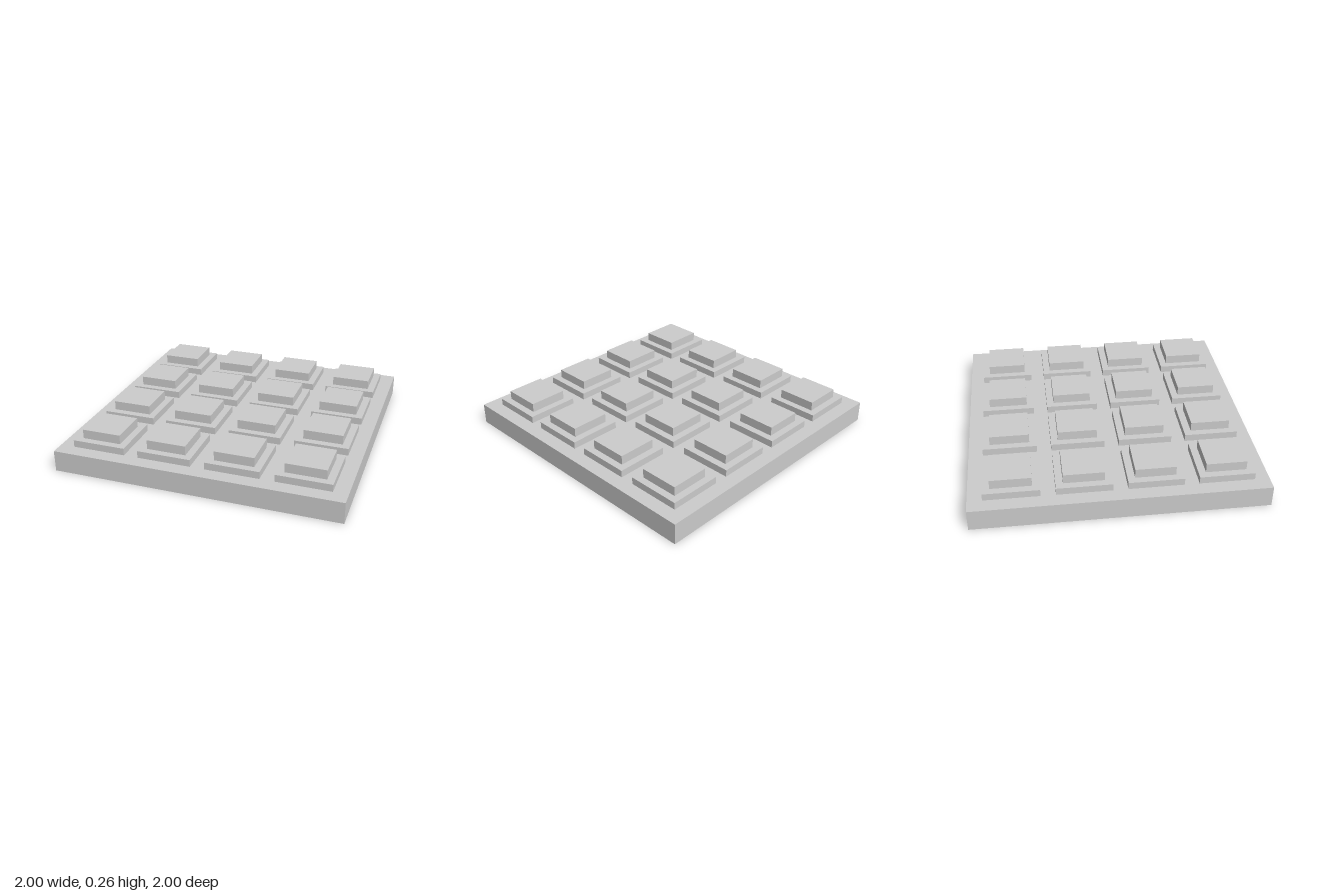
import * as THREE from 'three';

export function createModel() {
  const model = new THREE.Group();
  const grey = new THREE.MeshStandardMaterial({ color: 0xcccccc });
  grey.name = 'lightGrey';

  // Square slab standing on height y
  function slab(name, size, height, y) {
    const mesh = new THREE.Mesh(new THREE.BoxGeometry(size, height, size), grey);
    mesh.name = name;
    mesh.position.y = y + height / 2;
    return mesh;
  }

  // Base plate
  model.add(slab('basePlate', 2, 0.15, 0));

  // 4 x 4 grid of stepped blocks
  const count = 4, pitch = 0.475;
  for (let row = 0; row < count; row++) {
    for (let col = 0; col < count; col++) {
      const block = new THREE.Group();
      block.name = `steppedBlock_${row}_${col}`;
      block.add(slab('lowerStep', 0.375, 0.05, 0.15));
      block.add(slab('upperStep', 0.275, 0.065, 0.2));
      block.position.set((col - 1.5) * pitch, 0, (row - 1.5) * pitch);
      model.add(block);
    }
  }
  return model;
}
